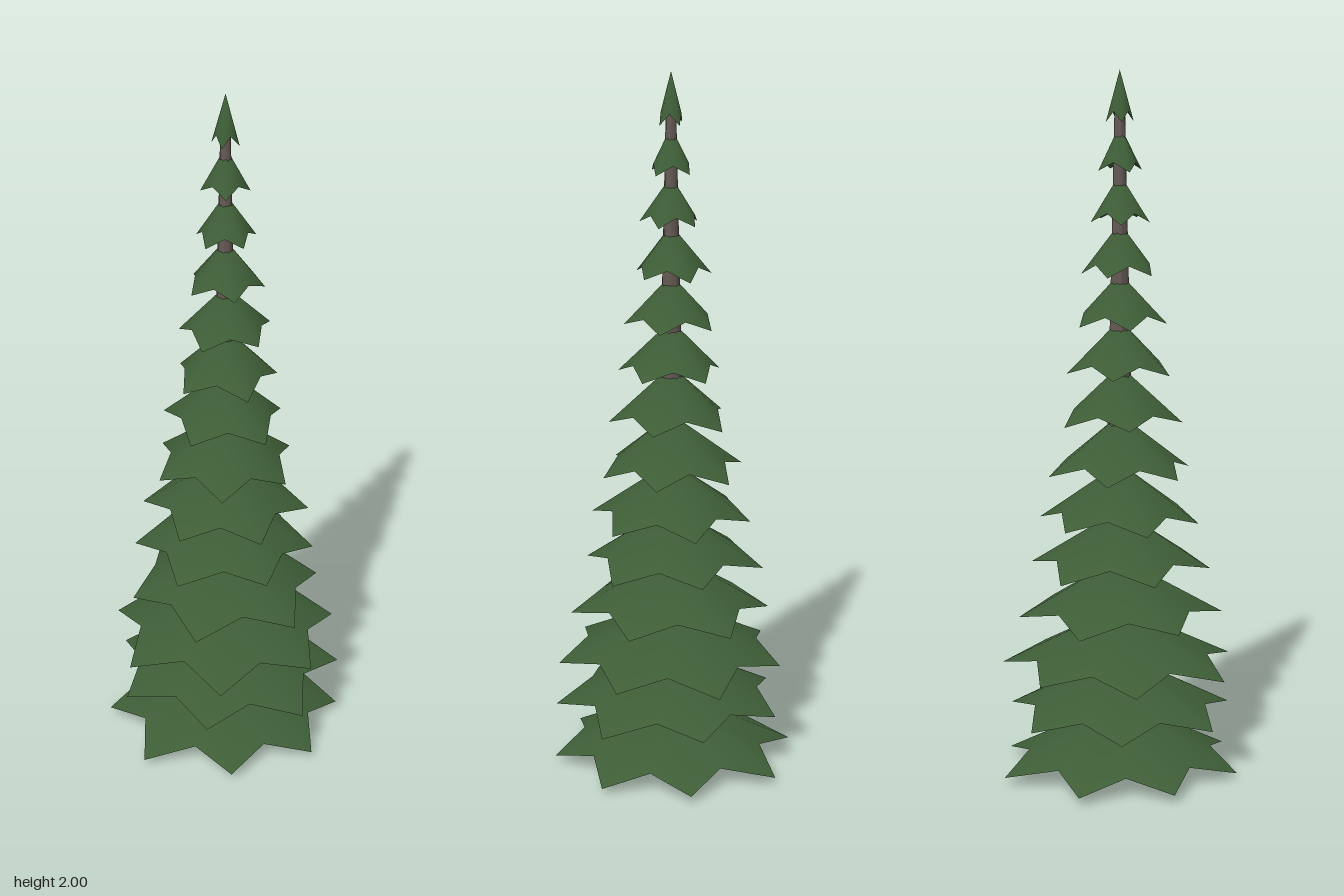
import * as THREE from 'three';

// Tiers from bottom to top: [tip height, tip radius, apex height, points, turn in degrees]
const TIERS = [
  [0.02, 0.35, 0.20, 8, 22.5], [0.17, 0.333, 0.34, 7, 22], [0.31, 0.335, 0.48, 7, 15],
  [0.455, 0.285, 0.625, 6, 12], [0.60, 0.255, 0.765, 6, 27], [0.735, 0.23, 0.90, 6, 30],
  [0.875, 0.205, 1.04, 6, -2], [1.02, 0.175, 1.18, 5, 4], [1.16, 0.15, 1.31, 5, 20],
  [1.30, 0.135, 1.44, 5, 0], [1.44, 0.11, 1.58, 5, 30], [1.585, 0.086, 1.715, 5, 10],
  [1.725, 0.065, 1.85, 4, 25], [1.86, 0.038, 2.0, 4, 40],
];

function seeded(seed) {
  return () => {
    seed = (seed * 16807) % 2147483647;
    return seed / 2147483647;
  };
}

// Fan from a centre point to a closed rim, facing up or down
function fan(centreY, rim, faceUp) {
  const pos = [0, centreY, 0];
  const index = [];
  rim.forEach((p, i) => {
    pos.push(p.x, p.y, p.z);
    const a = i + 1, b = ((i + 1) % rim.length) + 1;
    if (faceUp) index.push(0, b, a);
    else index.push(0, a, b);
  });
  const geo = new THREE.BufferGeometry();
  geo.setAttribute('position', new THREE.Float32BufferAttribute(pos, 3));
  geo.setIndex(index);
  geo.computeVertexNormals();
  return geo;
}

export function createModel() {
  const tree = new THREE.Group();
  tree.name = 'firTree';
  const needles = new THREE.MeshStandardMaterial({ color: 0x3e5e37 });
  needles.name = 'needle green';
  const bark = new THREE.MeshStandardMaterial({ color: 0x665b55 });
  bark.name = 'bark grey brown';

  // Tapering trunk
  const trunk = new THREE.Mesh(new THREE.CylinderGeometry(0.014, 0.057, 1.92, 8), bark);
  trunk.position.y = 0.96;
  trunk.name = 'trunk';
  tree.add(trunk);

  // Star-rimmed branch skirts with drooping tips
  const rand = seeded(77);
  TIERS.forEach(([tipY, radius, apexY, points, turn], t) => {
    const rim = [];
    const droop = 0.2 * (apexY - tipY);
    for (let i = 0; i < points * 2; i++) {
      const isTip = i % 2 === 0;
      const angle = THREE.MathUtils.degToRad(turn) + (i * Math.PI) / points;
      const r = isTip ? radius * (0.96 + 0.08 * rand()) : radius * 0.75;
      const y = isTip ? tipY + 0.008 * (rand() - 0.5) : tipY + droop;
      rim.push(new THREE.Vector3(Math.cos(angle) * r, y, Math.sin(angle) * r));
    }
    const tier = new THREE.Group();
    tier.name = `branchTier${t + 1}`;
    const top = new THREE.Mesh(fan(apexY, rim, true), needles);
    top.name = 'branchTop';
    const under = new THREE.Mesh(fan(tipY + 0.45 * (apexY - tipY), rim, false), needles);
    under.name = 'branchUnderside';
    tier.add(top, under);
    tree.add(tier);
  });

  return tree;
}
